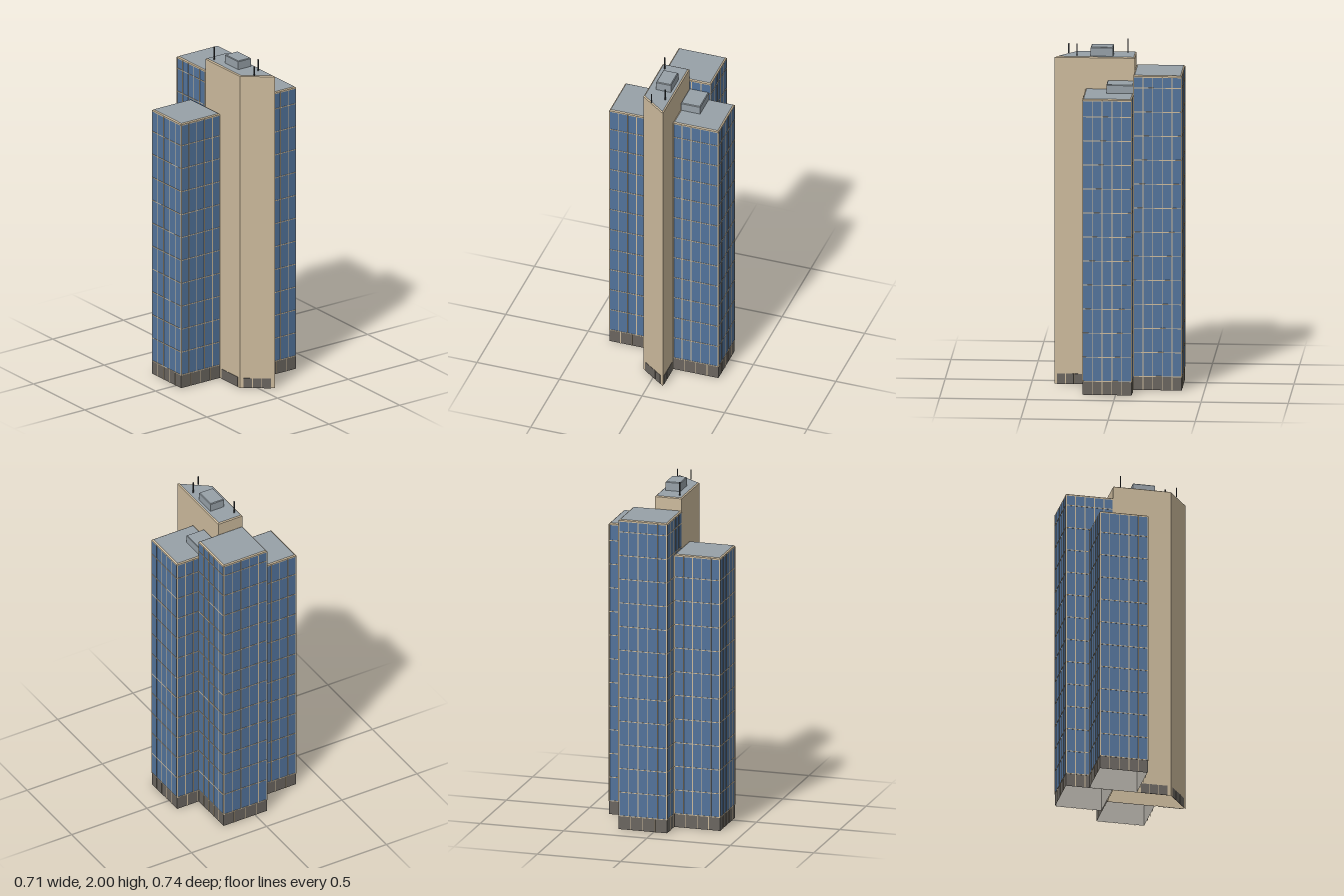
import * as THREE from 'three';
import { mergeGeometries } from 'three/addons/utils/BufferGeometryUtils.js';

const flat = (name, color) => {
  const m = new THREE.MeshStandardMaterial({ color });
  m.name = name;
  return m;
};

// Footprints are [x, z] corners, starting front left and running along the front.
const rect = (x0, x1, z0, z1) => [[x0, z1], [x1, z1], [x1, z0], [x0, z0]];

function edge(p, q) {
  const dx = q[0] - p[0], dz = q[1] - p[1], length = Math.hypot(dx, dz);
  return { length, dx: dx / length, dz: dz / length, nx: -dz / length, nz: dx / length };
}

function inset(ring, d) {
  return ring.map((p, i) => {
    const a = edge(ring.at(i - 1), p), b = edge(p, ring[(i + 1) % ring.length]);
    const k = d / (1 + a.nx * b.nx + a.nz * b.nz);
    return [p[0] - k * (a.nx + b.nx), p[1] - k * (a.nz + b.nz)];
  });
}

function surface(triangles) {
  const g = new THREE.BufferGeometry();
  g.setAttribute('position', new THREE.Float32BufferAttribute(triangles.flat(), 3));
  g.computeVertexNormals();
  return g;
}

// Side walls between two rings; inward flips them to line a hollow space.
function walls(low, y0, high, y1, inward = false) {
  const t = [];
  low.forEach((p, i) => {
    const j = (i + 1) % low.length;
    const a = [p[0], y0, p[1]], b = [low[j][0], y0, low[j][1]];
    const c = [high[j][0], y1, high[j][1]], d = [high[i][0], y1, high[i][1]];
    t.push(...(inward ? [a, c, b, a, d, c] : [a, b, c, a, c, d]));
  });
  return surface(t);
}

function lid(ring, y, down = false) {
  const t = [];
  for (let i = 1; i < ring.length - 1; i++) {
    const [a, b, c] = [ring[0], ring[i], ring[i + 1]].map(p => [p[0], y, p[1]]);
    t.push(...(down ? [a, c, b] : [a, b, c]));
  }
  return surface(t);
}

// Thin plate on the wall p-q, spanning distances s0..s1 along it.
function plate(p, q, s0, s1, y0, y1, depth = 0.003) {
  const e = edge(p, q), s = (s0 + s1) / 2;
  const g = new THREE.BoxGeometry(s1 - s0, y1 - y0, depth);
  g.rotateY(Math.atan2(-e.dz, e.dx));
  return g.translate(p[0] + e.dx * s + e.nx * depth / 2, (y0 + y1) / 2, p[1] + e.dz * s + e.nz * depth / 2);
}

export function createModel() {
  const glass = flat('blue glass', 0x52739b);
  const stone = flat('beige stone', 0xcdbb9d);
  const base = flat('dark base', 0x6a655f);
  const roofGrey = flat('roof grey', 0x97a1a8);
  const lining = flat('interior grey', 0xb4b0a8);
  const metal = flat('dark metal', 0x3a3d40);

  const model = new THREE.Group();
  model.name = 'skyscraper';
  const add = (parent, name, material, ...geos) => {
    const mesh = new THREE.Mesh(geos.length > 1 ? mergeGeometries(geos) : geos[0], material);
    mesh.name = name;
    parent.add(mesh);
  };
  const group = name => {
    const g = new THREE.Group();
    g.name = name;
    model.add(g);
    return g;
  };

  // Chamfered beige rim around a flat grey roof
  const addRoof = (g, ring, top) => {
    const inner = inset(ring, 0.007);
    add(g, 'roofRim', stone, walls(ring, top - 0.013, ring, top - 0.005), walls(ring, top - 0.005, inner, top));
    add(g, 'roof', roofGrey, lid(inner, top));
  };

  const BASE = 0.08, FLOOR = 0.141;

  // Glass towers; wall numbers 0..3 are front, +x side, back, -x side
  const towers = [
    ['rightTower', rect(-0.355, -0.08, -0.233, 0.05), 1.625, [0, 1, 2, 3]],
    ['leftTower', rect(0.08, 0.355, -0.093, 0.19), 1.735, [0, 1, 2]],
    ['backTower', rect(-0.08, 0.21, -0.37, -0.093), 1.845, [0, 1, 2, 3]],
  ];
  for (const [name, ring, top, faces] of towers) {
    const g = group(name);
    add(g, 'baseWalls', base, walls(ring, 0, ring, BASE));
    add(g, 'glassWalls', glass, walls(ring, BASE, ring, top - 0.013));
    const inner = inset(ring, 0.005);
    add(g, 'interior', lining, walls(inner, 0, inner, top - 0.02, true), lid(inner, top - 0.02, true));
    addRoof(g, ring, top);

    // Window grid and base dividers
    const bars = [];
    for (const f of faces) {
      const p = ring[f], q = ring[(f + 1) % 4], { length } = edge(p, q);
      for (let i = 0; i <= 5; i++) {
        const s = Math.min(Math.max(length * i / 5, 0.0025), length - 0.0025);
        bars.push(plate(p, q, s - 0.0022, s + 0.0022, BASE, top - 0.008, 0.002));
      }
      for (let y = BASE; y < top - 0.02; y += FLOOR) bars.push(plate(p, q, 0, length, y - 0.0022, y + 0.0022, 0.002));
      const n = f % 2 ? 5 : 4;
      for (let i = 1; i < n; i++) {
        const s = length * i / n;
        bars.push(plate(p, q, s - 0.0018, s + 0.0018, 0, BASE, 0.002));
      }
    }
    add(g, 'windowGrid', stone, ...bars);
  }

  // Tall stone blade with a slanted front
  const blade = group('stoneBlade');
  const ring = [[-0.08, 0.245], [0.08, 0.367], [0.08, -0.093], [-0.08, -0.093]];
  const inner = inset(ring, 0.005);
  add(blade, 'bladeWalls', stone, walls(ring, 0, ring, 1.907));
  add(blade, 'bladeInterior', stone, walls(inner, 0, inner, 1.9, true), lid(inner, 1.9, true));
  addRoof(blade, ring, 1.92);

  // Entrance panes: wall, start, end
  const panes = [];
  for (const [f, s0, s1] of [[0, 0.018, 0.178], [1, 0.013, 0.161], [3, 0.16, 0.32]]) {
    const w = (s1 - s0) / 3;
    for (let i = 0; i < 3; i++) {
      panes.push(plate(ring[f], ring[(f + 1) % 4], s0 + i * w + 0.002, s0 + (i + 1) * w - 0.002, 0, 0.06, 0.002));
    }
  }
  add(blade, 'entrancePanes', base, ...panes);

  // Rooftop plant rooms with chamfered tops
  const plantRooms = [
    ['bladePlantRoom', rect(-0.033, 0.057, 0.033, 0.162), 1.92, 1.972],
    ['leftPlantRoom', rect(0.083, 0.2, -0.09, 0.063), 1.735, 1.785],
  ];
  for (const [name, r, y0, y1] of plantRooms) {
    const top = inset(r, 0.004);
    add(model, name, roofGrey, walls(r, y0, r, y1 - 0.004), walls(r, y1 - 0.004, top, y1), lid(top, y1));
  }

  // Antennas
  for (const [x, z, top] of [[-0.053, -0.045, 2], [0.05, 0.241, 1.99], [-0.015, 0.292, 1.977]]) {
    const h = top - 1.92;
    add(model, 'antenna', metal, new THREE.BoxGeometry(0.006, h, 0.006).translate(x, 1.92 + h / 2, z));
  }
  return model;
}
